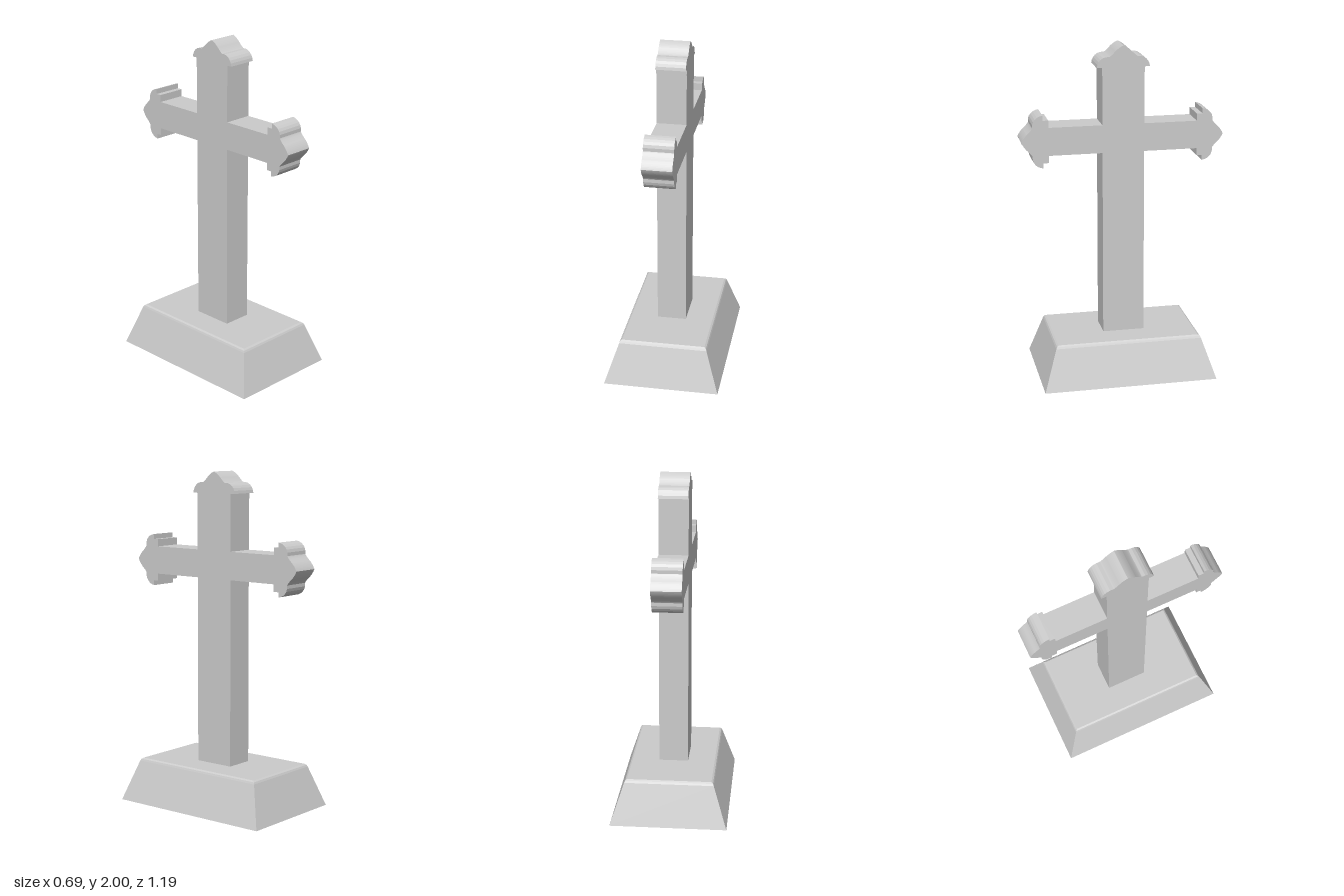
import * as THREE from 'three';

const material = new THREE.MeshStandardMaterial({ color: 0xcccccc, flatShading: true });
const THICK = 0.174, SHAFT = 0.124, ARM = 0.083, ARM_Y = 1.457, REACH = 0.597, TOP = 2;

// Half outline of a finial as (half width, distance back from the tip), root to tip
function finialHalf() {
  const path = new THREE.Path();
  path.moveTo(0.126, 0.158);
  path.lineTo(0.126, 0.125);
  path.lineTo(0.156, 0.125);
  path.bezierCurveTo(0.152, 0.09, 0.125, 0.058, 0.083, 0.064);
  path.quadraticCurveTo(0.07, 0.058, 0.045, 0.03);
  path.quadraticCurveTo(0.024, 0.01, 0, 0);
  return path.getPoints(6);
}

// Full finial outline, from its negative side round the tip to its positive side
function finial() {
  const half = finialHalf();
  const mirrored = half.slice(0, -1).reverse().map(p => new THREE.Vector2(-p.x, p.y));
  return [...half, ...mirrored];
}

// Cross outline drawn in the z-y plane and extruded through the thickness
function crossGeometry() {
  const V = (x, y) => new THREE.Vector2(x, y);
  const low = ARM_Y - ARM, high = ARM_Y + ARM;
  const arm = finial().map(p => V(REACH - p.y, ARM_Y - p.x));
  const right = [
    V(SHAFT, 0.2), V(SHAFT, low), V(REACH - 0.158, low),
    ...arm,
    V(REACH - 0.158, high), V(SHAFT, high), V(SHAFT, TOP - 0.158),
    ...finialHalf().map(p => V(p.x, TOP - p.y)),
  ];
  const left = right.slice(0, -1).reverse().map(p => V(-p.x, p.y));
  const geometry = new THREE.ExtrudeGeometry(new THREE.Shape([...right, ...left]), {
    depth: THICK, bevelEnabled: false,
  });
  return geometry.translate(0, 0, -THICK / 2).rotateY(-Math.PI / 2);
}

// Tapered plinth from stacked rectangles, with a softened upper edge
function plinthGeometry() {
  const rings = [[0.343, 0, 0.52], [0.263, 0.241, 0.44], [0.258, 0.252, 0.434], [0.248, 0.259, 0.424]];
  const signs = [[1, 1], [1, -1], [-1, -1], [-1, 1]];
  const corner = (r, k) => [signs[k % 4][0] * rings[r][0], rings[r][1], signs[k % 4][1] * rings[r][2]];
  const positions = [];
  const quad = (a, b, c, d) => positions.push(...a, ...b, ...c, ...a, ...c, ...d);
  for (let r = 0; r < rings.length - 1; r++) {
    for (let k = 0; k < 4; k++) quad(corner(r, k), corner(r, k + 1), corner(r + 1, k + 1), corner(r + 1, k));
  }
  const last = rings.length - 1;
  quad(corner(last, 0), corner(last, 1), corner(last, 2), corner(last, 3));
  quad(corner(0, 3), corner(0, 2), corner(0, 1), corner(0, 0));
  const geometry = new THREE.BufferGeometry();
  geometry.setAttribute('position', new THREE.Float32BufferAttribute(positions, 3));
  geometry.computeVertexNormals();
  return geometry;
}

export function createModel() {
  const model = new THREE.Group();
  model.name = 'standingCross';
  const add = (name, geometry) => {
    const mesh = new THREE.Mesh(geometry, material);
    mesh.name = name;
    model.add(mesh);
  };
  add('plinth', plinthGeometry());
  add('cross', crossGeometry());
  return model;
}
